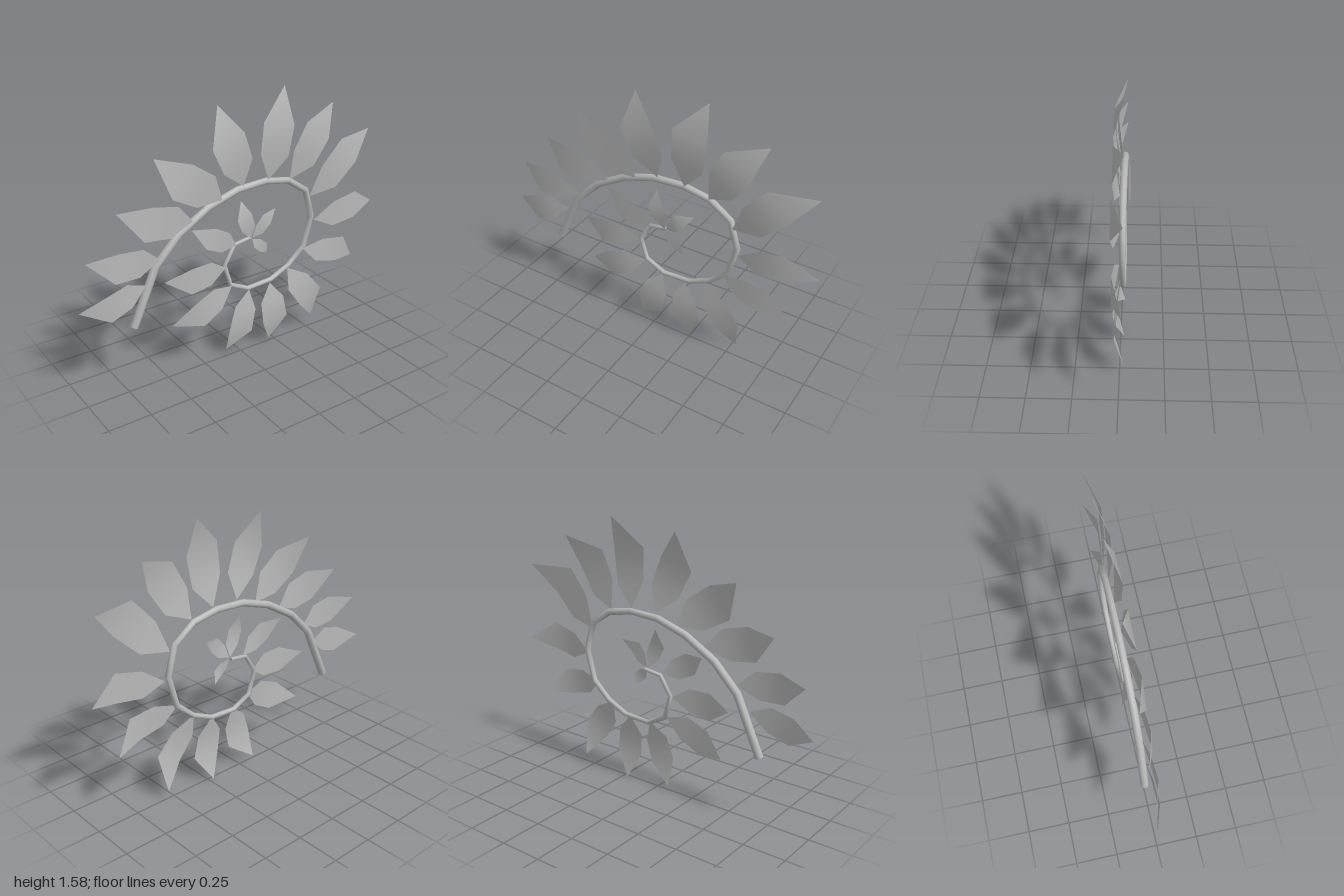
import * as THREE from 'three';

// Spiral stem centreline, from the cut end to the curled tip
const STEM = [
  [-0.69, 0.40], [-0.54, 0.73], [-0.39, 0.88], [-0.20, 0.99], [-0.01, 1.05], [0.18, 1.06],
  [0.34, 1.03], [0.47, 0.94], [0.52, 0.77], [0.47, 0.58], [0.36, 0.48], [0.23, 0.42],
  [0.06, 0.41], [-0.06, 0.47], [-0.10, 0.61], [-0.03, 0.72], [0.08, 0.735],
];

// Leaves: base x, y, tip x, y, sideways bend and half width (both relative to length)
const LEAVES = [
  [-0.61, 0.64, -1.00, 0.58, 0.07, 0.20],
  [-0.52, 0.77, -0.94, 0.85, 0.05, 0.20],
  [-0.31, 0.94, -0.75, 1.08, 0.06, 0.21],
  [-0.12, 1.02, -0.52, 1.33, 0.05, 0.21],
  [0.02, 1.07, -0.13, 1.55, 0.05, 0.21],
  [0.19, 1.07, 0.31, 1.59, 0.06, 0.20],
  [0.34, 1.04, 0.66, 1.44, 0.07, 0.20],
  [0.49, 0.90, 0.95, 1.23, 0.09, 0.18],
  [0.53, 0.74, 1.00, 0.75, 0.08, 0.18],
  [0.45, 0.57, 0.86, 0.41, 0.09, 0.18],
  [0.34, 0.47, 0.55, 0.07, 0.08, 0.19],
  [0.21, 0.41, 0.22, 0.01, 0.05, 0.22],
  [0.06, 0.41, -0.09, 0.04, 0.05, 0.21],
  [-0.06, 0.47, -0.45, 0.32, 0.04, 0.20],
  [-0.10, 0.60, -0.49, 0.61, 0.04, 0.20],
  [-0.03, 0.72, -0.31, 0.88, 0.02, 0.20],
  [0.07, 0.74, 0.01, 0.98, 0.06, 0.20],
  [0.08, 0.74, 0.25, 0.88, 0.08, 0.19],
  [0.08, 0.73, 0.19, 0.61, 0.05, 0.20],
];

function geometryFrom(pos, idx) {
  const g = new THREE.BufferGeometry();
  g.setAttribute('position', new THREE.Float32BufferAttribute(pos, 3));
  g.setIndex(idx);
  g.computeVertexNormals();
  return g;
}

// Tapered tube with mitred joints and flat end caps
function stemGeometry(sides = 8, z = -0.016) {
  const pos = [], idx = [];
  const pts = STEM.map(([x, y]) => new THREE.Vector2(x, y));
  const last = pts.length - 1;
  const addRing = (i) => {
    const a = pts[Math.max(i - 1, 0)], p = pts[i], b = pts[Math.min(i + 1, last)];
    const d1 = (i ? p.clone().sub(a) : b.clone().sub(p)).normalize();
    const d2 = (i < last ? b.clone().sub(p) : d1.clone()).normalize();
    const t = d1.clone().add(d2).normalize();
    const r = THREE.MathUtils.lerp(0.024, 0.011, i / last);
    const miter = r / t.dot(d1);
    const start = pos.length / 3;
    for (let j = 0; j < sides; j++) {
      const ang = (j / sides) * Math.PI * 2;
      const c = Math.cos(ang) * miter;
      pos.push(p.x - t.y * c, p.y + t.x * c, z + Math.sin(ang) * r);
    }
    return start;
  };
  pts.forEach((_, i) => addRing(i));
  for (let i = 0; i < last; i++) {
    for (let j = 0; j < sides; j++) {
      const k = (j + 1) % sides;
      const a = i * sides + j, b = i * sides + k;
      idx.push(a, b, a + sides, b, b + sides, a + sides);
    }
  }
  const first = addRing(0), end = addRing(last);
  for (let j = 1; j < sides - 1; j++) {
    idx.push(first, first + j + 1, first + j, end, end + j, end + j + 1);
  }
  return geometryFrom(pos, idx);
}

// Six-point leaf that bulges forward in the middle, its tip curling back
function leafGeometry([bx, by, tx, ty, bend, width]) {
  const dx = tx - bx, dy = ty - by, len = Math.hypot(dx, dy);
  const pos = [];
  const add = (along, side, depth) =>
    pos.push(bx + dx * along - dy * side, by + dy * along + dx * side, depth * len);
  add(0, 0, 0);
  add(0.28, bend * 0.3 + width * 0.92, 0.045);
  add(0.28, bend * 0.3 - width * 0.92, 0.045);
  add(0.62, bend + width, 0.065);
  add(0.62, bend - width, 0.065);
  add(1, 0, -0.05);
  return geometryFrom(pos, [0, 2, 1, 1, 2, 4, 1, 4, 3, 3, 4, 5]);
}

export function createModel() {
  const model = new THREE.Group();
  model.name = 'curledFrond';
  const grey = new THREE.MeshStandardMaterial({ color: 0xb8b8b8, side: THREE.DoubleSide });
  grey.name = 'plainGrey';

  const stem = new THREE.Mesh(stemGeometry(), grey);
  stem.name = 'stem';
  model.add(stem);

  const leaves = new THREE.Group();
  leaves.name = 'leaves';
  LEAVES.forEach((spec, i) => {
    const leaf = new THREE.Mesh(leafGeometry(spec), grey);
    leaf.name = `leaf${i + 1}`;
    leaves.add(leaf);
  });
  model.add(leaves);
  return model;
}
